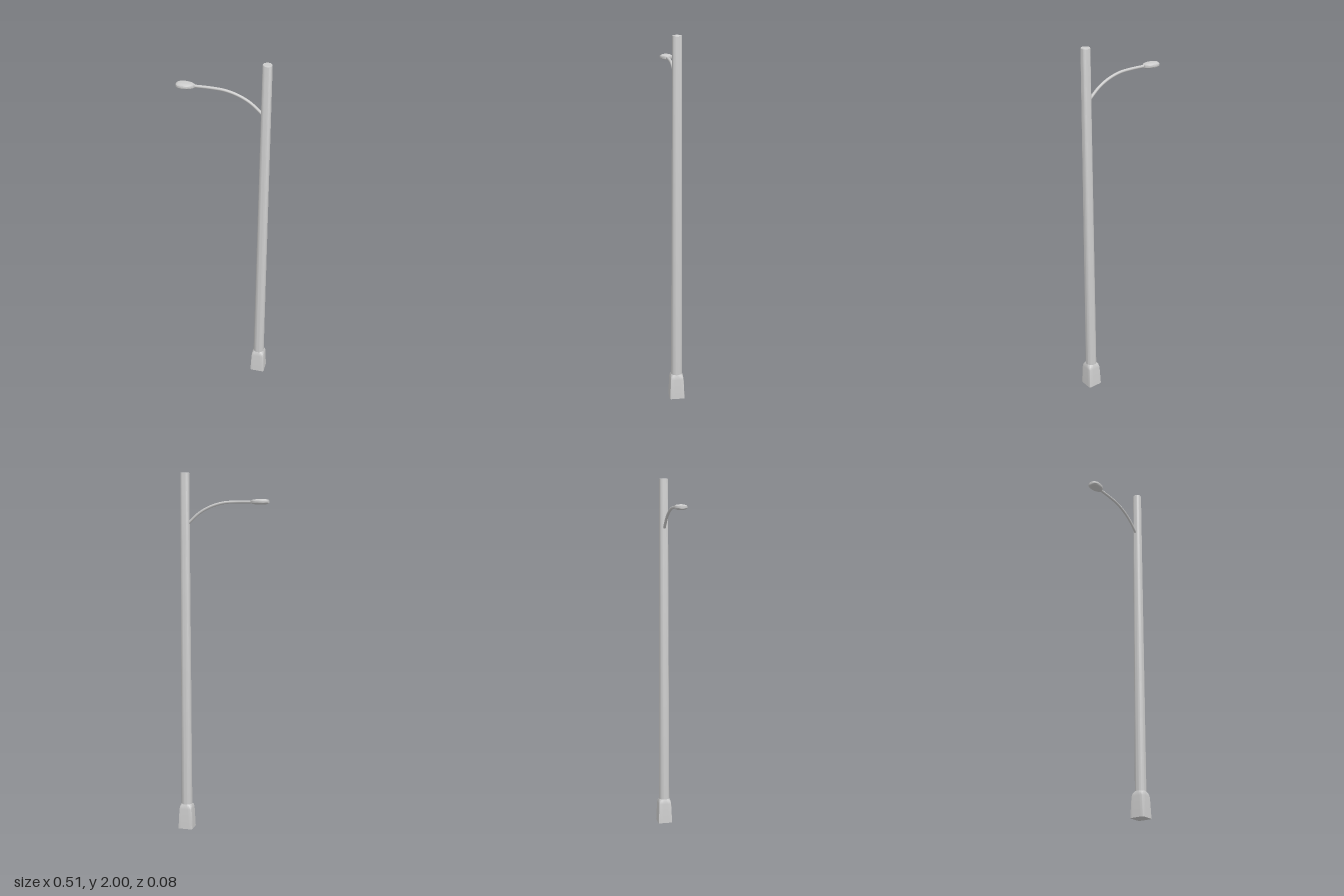
import * as THREE from 'three';
import { toCreasedNormals } from 'three/addons/utils/BufferGeometryUtils.js';

const POLE_X = 0.212;
const material = new THREE.MeshStandardMaterial({ color: 0xcccccc });

// Skin superellipse sections [y, halfX, halfZ, power] stacked along y, closed at both ends.
// Power 2 is an ellipse, a high power is a rounded rectangle.
function loft(sections, sides, crease) {
  const pos = [], index = [];
  for (const [y, a, b, n] of sections) {
    for (let i = 0; i < sides; i++) {
      const t = (i / sides) * Math.PI * 2, c = Math.cos(t), s = Math.sin(t);
      const r = 1 / Math.pow(Math.abs(c) ** n + Math.abs(s) ** n, 1 / n);
      pos.push(a * r * c, y, b * r * s);
    }
  }
  const last = sections.length - 1;
  const bottom = pos.length / 3, top = bottom + 1;
  pos.push(0, sections[0][0], 0, 0, sections[last][0], 0);
  for (let i = 0; i < sides; i++) {
    const j = (i + 1) % sides;
    for (let k = 0; k < last; k++) {
      const p = k * sides, q = p + sides;
      index.push(p + i, q + i, q + j, p + i, q + j, p + j);
    }
    index.push(bottom, i, j, top, last * sides + j, last * sides + i);
  }
  const geometry = new THREE.BufferGeometry();
  geometry.setAttribute('position', new THREE.Float32BufferAttribute(pos, 3));
  geometry.setIndex(index);
  geometry.computeVertexNormals();
  return toCreasedNormals(geometry, crease);
}

function addPart(group, name, geometry) {
  const mesh = new THREE.Mesh(geometry, material);
  mesh.name = name;
  group.add(mesh);
  return mesh;
}

export function createModel() {
  const model = new THREE.Group();
  model.name = 'streetLamp';

  // Square tapered foot whose shoulder closes in to the round pole
  const base = addPart(model, 'base', loft([
    [0, 0.042, 0.042, 14],
    [0.115, 0.037, 0.037, 12],
    [0.13, 0.035, 0.035, 5],
    [0.142, 0.031, 0.031, 2],
  ], 48, 0.6));
  base.position.x = POLE_X;

  // Tapered round pole with a slightly eased top rim
  const pole = addPart(model, 'pole', loft([
    [0.1, 0.031, 0.031, 2],
    [1.997, 0.0245, 0.0245, 2],
    [2, 0.0225, 0.0225, 2],
  ], 32, 0.6));
  pole.position.x = POLE_X;

  // Arm rising out of the pole and levelling off towards the lamp
  const path = new THREE.CatmullRomCurve3([
    [0.205, 1.718], [0.18, 1.743], [0.13, 1.786], [0.07, 1.818],
    [0, 1.838], [-0.07, 1.843], [-0.17, 1.843],
  ].map(([x, y]) => new THREE.Vector3(x, y, 0)));
  addPart(model, 'arm', new THREE.TubeGeometry(path, 40, 0.0078, 12));

  // Flattened egg-shaped lamp head, lofted outward from its neck
  const head = addPart(model, 'lampHead', loft([
    [0.155, 0.008, 0.009, 2],
    [0.161, 0.0105, 0.016, 2],
    [0.172, 0.0125, 0.026, 2.2],
    [0.187, 0.014, 0.0325, 2.2],
    [0.205, 0.0148, 0.0355, 2.2],
    [0.222, 0.0148, 0.0352, 2.2],
    [0.237, 0.0135, 0.031, 2.2],
    [0.248, 0.011, 0.022, 2.2],
    [0.253, 0.0075, 0.013, 2],
    [0.255, 0.003, 0.005, 2],
  ], 24, 1.1));
  head.rotation.z = Math.PI / 2;
  head.position.y = 1.843;

  return model;
}
